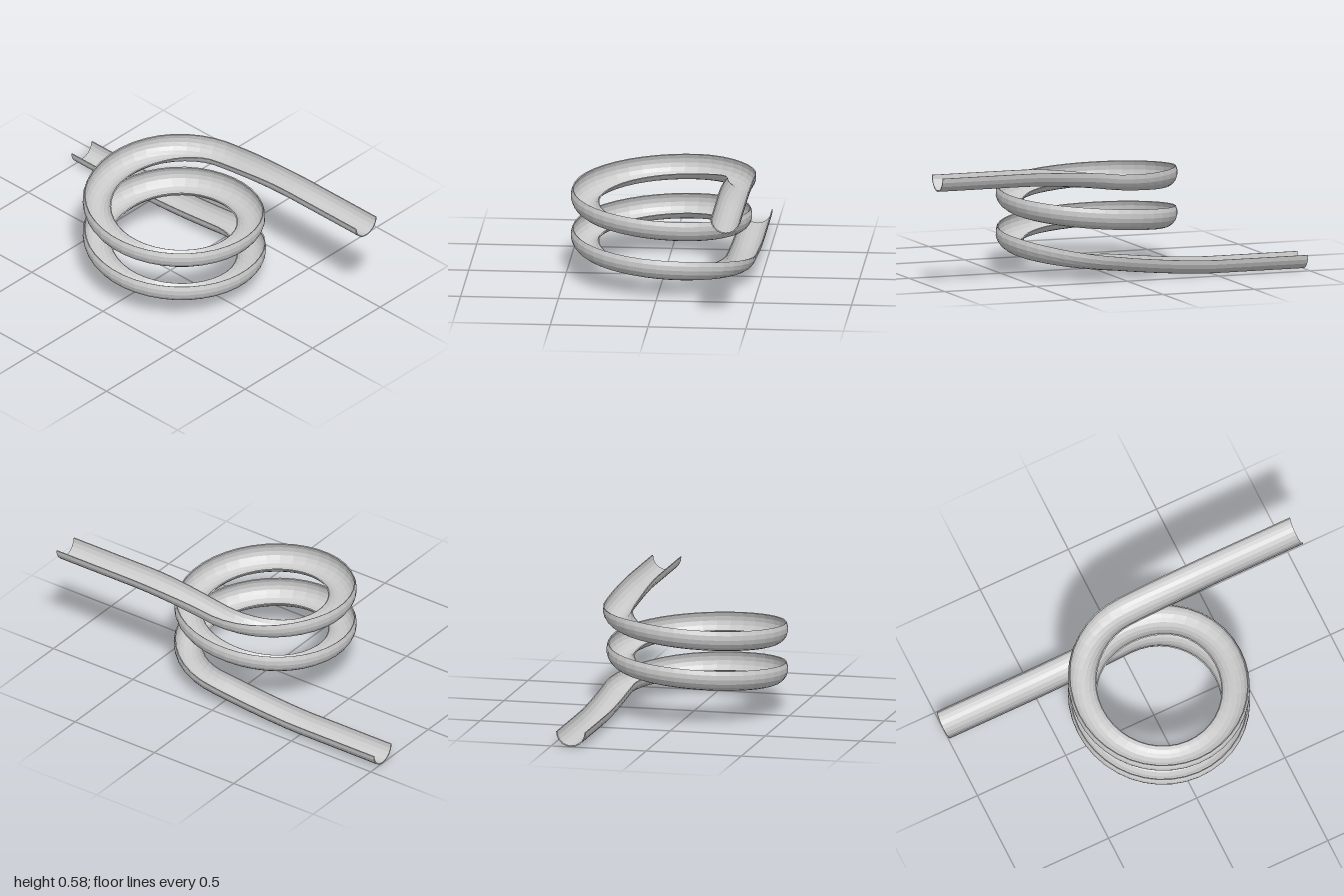
import * as THREE from 'three';

const R = 0.0775;          // outer radius of the half pipe
const WALL = 0.006;        // wall thickness
const ARC = 10;            // facets across the half pipe
const CX = 0.028;          // coil axis in x
const COIL_Z = 0.3965;     // straight runs lie at z = -COIL_Z
const TURN = Math.PI * 2;
const BANK = THREE.MathUtils.degToRad(28);
const smooth = THREE.MathUtils.smoothstep;

// Stations along the slide: centre, heading angle and banking
function makeStations() {
  const list = [];
  const add = (x, y, z, heading, bank) => list.push({ x, y, z, heading, bank });

  // lower run, easing up into the coil
  for (const x of [-1, -0.75, -0.5, -0.42, -0.34, -0.26, -0.18, -0.1, -0.04]) {
    const s = Math.max(0, (x + 0.5) / 0.528);
    add(x, R + 0.0425 * s ** 1.5, -COIL_Z, 0, 0);
  }
  // two banked turns
  const steps = 80;
  for (let i = 0; i <= steps; i++) {
    const a = (i / steps) * 2 * TURN;
    const middle = Math.abs(a - TURN) < Math.PI / 2 ? Math.cos(a) ** 2 : 0;
    const radiusZ = COIL_Z - 0.021 * middle;
    const bank = BANK * smooth(a, -0.2, 1.4) * (1 - 0.7 * smooth(a, 2 * TURN - 1.3, 2 * TURN));
    add(CX + 0.386 * Math.sin(a), 0.12 + 0.415 * (i / steps), -radiusZ * Math.cos(a), a, bank);
  }
  // upper run, levelling out
  for (const x of [0.1, 0.17, 0.24, 0.31, 0.38, 0.45, 0.53, 0.75, 1]) {
    const s = Math.max(0, (0.53 - x) / 0.502);
    add(x, 0.5775 - 0.0425 * s ** 1.7, -COIL_Z, 0, 0.3 * BANK * (1 - smooth(x, CX, 0.45)));
  }
  return list;
}

// Closed half-pipe outline: outer arc left to right, inner arc back
function makeProfile() {
  const profile = [];
  for (let k = 0; k <= ARC; k++) {
    const a = Math.PI * (1 - k / ARC);
    profile.push([R * Math.cos(a), -R * Math.sin(a)]);
  }
  for (let k = 0; k <= ARC; k++) {
    const a = Math.PI * (k / ARC);
    profile.push([(R - WALL) * Math.cos(a), -(R - WALL) * Math.sin(a)]);
  }
  return profile;
}

function sweepChute() {
  const stations = makeStations();
  const profile = makeProfile();
  const m = profile.length;
  const positions = [];
  const index = [];

  for (const s of stations) {
    const c = Math.cos(s.bank), n = Math.sin(s.bank);
    for (const [u, v] of profile) {
      const out = u * c - v * n;
      const up = u * n + v * c;
      positions.push(s.x + out * Math.sin(s.heading), s.y + up, s.z - out * Math.cos(s.heading));
    }
  }
  const quad = (a, b, c, d) => index.push(a, b, c, a, c, d);

  // walls and rims
  for (let i = 0; i < stations.length - 1; i++) {
    for (let j = 0; j < m; j++) {
      const k = (j + 1) % m;
      quad(i * m + j, i * m + k, (i + 1) * m + k, (i + 1) * m + j);
    }
  }
  // cut ends
  const last = (stations.length - 1) * m;
  for (let k = 0; k < ARC; k++) {
    quad(last + k, last + k + 1, last + m - 2 - k, last + m - 1 - k);
    quad(m - 1 - k, m - 2 - k, k + 1, k);
  }

  const geometry = new THREE.BufferGeometry();
  geometry.setAttribute('position', new THREE.Float32BufferAttribute(positions, 3));
  geometry.setIndex(index);
  geometry.computeVertexNormals();
  return geometry;
}

export function createModel() {
  const group = new THREE.Group();
  group.name = 'spiralSlide';
  const chute = new THREE.Mesh(
    sweepChute(),
    new THREE.MeshStandardMaterial({ color: 0xcccccc, flatShading: true })
  );
  chute.name = 'spiralChute';
  group.add(chute);
  return group;
}
